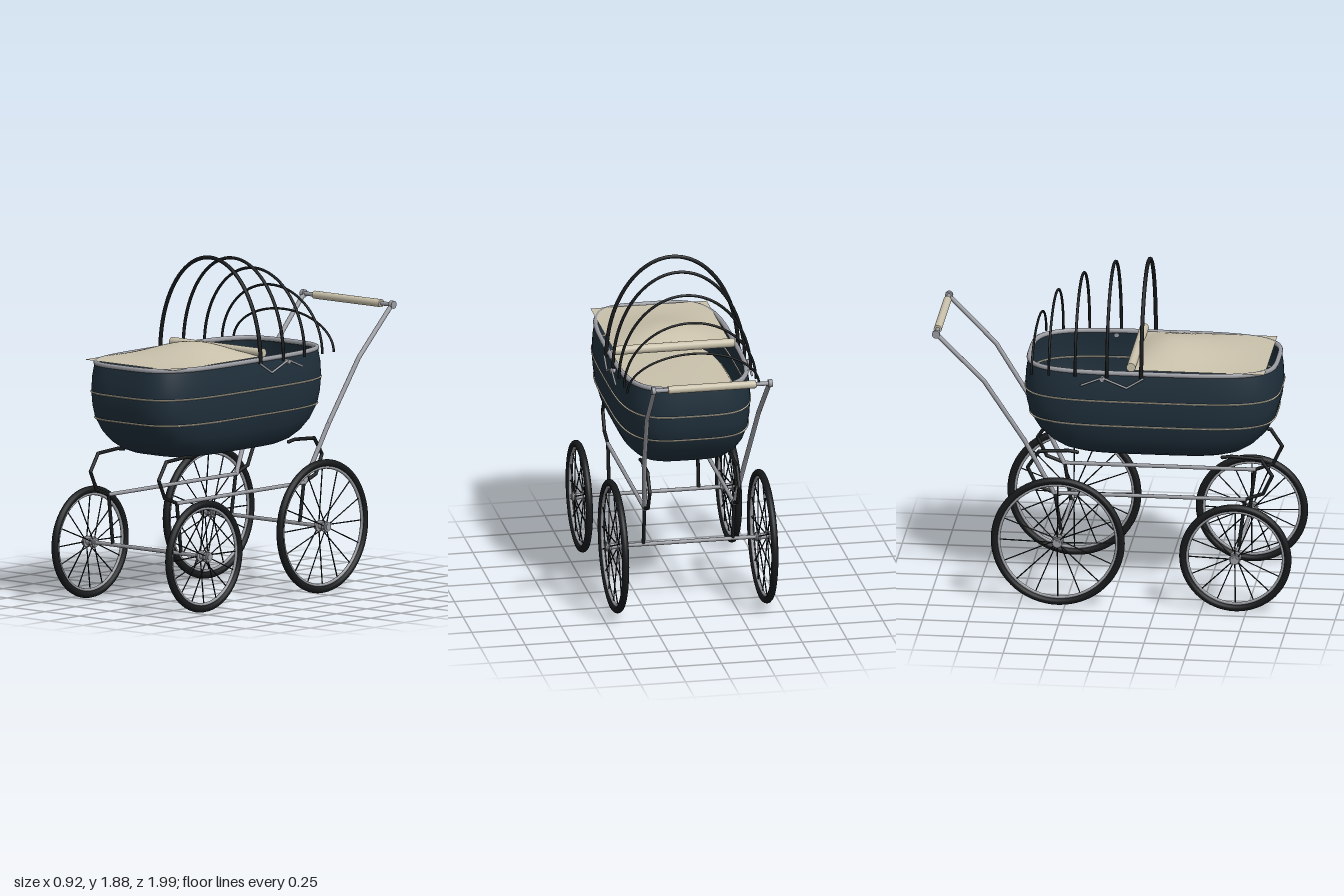
import * as THREE from 'three';

const mat = (name, color, side = THREE.FrontSide) => {
  const m = new THREE.MeshStandardMaterial({ color, side });
  m.name = name;
  return m;
};

export function createModel() {
  const navy = mat('navy body', 0x20303c, THREE.DoubleSide);
  const cream = mat('cream cloth', 0xc9c1ab, THREE.DoubleSide);
  const silver = mat('silver metal', 0x9a9ca2);
  const black = mat('black rubber and steel', 0x17191b);

  const root = new THREE.Group();
  root.name = 'babyCarriage';
  const V = (x, y, z) => new THREE.Vector3(x, y, z);
  const add = (name, geo, material, parent = root) => {
    const m = new THREE.Mesh(geo, material);
    m.name = name;
    parent.add(m);
    return m;
  };
  const group = name => {
    const g = new THREE.Group();
    g.name = name;
    root.add(g);
    return g;
  };
  // straight rod between two points
  const rod = (name, a, b, r, material, parent = root, sides = 12) => {
    const m = add(name, new THREE.CylinderGeometry(r, r, a.distanceTo(b), sides), material, parent);
    m.position.copy(a).lerp(b, 0.5);
    m.quaternion.setFromUnitVectors(V(0, 1, 0), b.clone().sub(a).normalize());
  };
  // bent rod: straight pieces with rounded joints
  const bentRod = (name, pts, r, material) => {
    const g = group(name);
    pts.forEach((p, i) => {
      add(name + 'Joint', new THREE.SphereGeometry(r, 12, 8), material, g).position.copy(p);
      if (i) rod(name + 'Piece', pts[i - 1], p, r, material, g);
    });
  };

  // rounded-rectangle outline of the body
  const CZ = 0.2, SEG = 96;
  const outline = (a, y, hx, hz) => {
    const f = v => Math.sign(v) * Math.abs(v) ** 0.52;
    return V(hx * f(Math.cos(a)), y, CZ + hz * f(Math.sin(a)));
  };
  const loft = rings => {
    const pos = [], index = [];
    rings.forEach(([y, hx, hz], i) => {
      for (let j = 0; j < SEG; j++) {
        pos.push(...outline(j / SEG * Math.PI * 2, y, hx, hz).toArray());
        if (!i) continue;
        const k = (j + 1) % SEG, lo = (i - 1) * SEG, up = i * SEG;
        index.push(lo + j, up + j, lo + k, lo + k, up + j, up + k);
      }
    });
    const g = new THREE.BufferGeometry();
    g.setAttribute('position', new THREE.Float32BufferAttribute(pos, 3));
    g.setIndex(index);
    g.computeVertexNormals();
    return g;
  };
  const ringTube = (y, hx, hz, r) => {
    const pts = [];
    for (let j = 0; j < SEG; j++) pts.push(outline(j / SEG * Math.PI * 2, y, hx, hz));
    return new THREE.TubeGeometry(new THREE.CatmullRomCurve3(pts, true), 128, r, 8, true);
  };

  // body, rim, trim lines and mattress
  add('body', loft([
    [0.825, 0.001, 0.001], [0.825, 0.15, 0.36], [0.828, 0.235, 0.45], [0.85, 0.275, 0.51],
    [0.89, 0.312, 0.57], [0.95, 0.342, 0.63], [1.03, 0.363, 0.678], [1.1, 0.371, 0.696],
    [1.18, 0.374, 0.704], [1.26, 0.37, 0.7], [1.335, 0.358, 0.688],
  ]), navy);
  add('rim', ringTube(1.335, 0.353, 0.683, 0.014), silver);
  add('upperTrim', ringTube(1.175, 0.374, 0.704, 0.005), cream);
  add('lowerTrim', ringTube(1.03, 0.364, 0.679, 0.005), cream);
  add('mattress', loft([[1.04, 0.34, 0.65], [1.08, 0.358, 0.675], [1.1, 0.34, 0.66], [1.1, 0.001, 0.001]]), cream);

  // domed cover over the front half, with a rolled edge
  const cover = new THREE.PlaneGeometry(0.65, 0.74, 28, 28).rotateX(-Math.PI / 2);
  const cp = cover.attributes.position;
  for (let i = 0; i < cp.count; i++) {
    const t = THREE.MathUtils.clamp(0.5 - cp.getZ(i) / 0.74, 0, 1), u = cp.getX(i) / 0.325;
    const rise = 0.06 * Math.sin(Math.PI * t ** 2.1) + 0.015 * t;
    cp.setY(i, 1.346 + rise * Math.cos(u * Math.PI / 2));
  }
  cover.computeVertexNormals();
  add('cover', cover, cream).position.z = 0.47;
  rod('coverRoll', V(-0.335, 1.365, 0.105), V(0.335, 1.365, 0.105), 0.025, cream, root, 20);

  // hood hoops
  [[0.165, 1.88, 0.011], [-0.025, 1.855, 0.009], [-0.2, 1.78, 0.008], [-0.345, 1.67, 0.007], [-0.44, 1.525, 0.0065]]
    .forEach(([z, top, r]) => {
      const pts = [];
      for (let i = 0; i <= 32; i++) {
        const a = i / 32 * Math.PI;
        pts.push(V(0.368 * Math.cos(a), 1.315 + (top - r - 1.315) * Math.sin(a), z));
      }
      add('hoodHoop', new THREE.TubeGeometry(new THREE.CatmullRomCurve3(pts), 64, r, 8), black);
    });

  // wheel with tyre, rim, spokes and hub; axis along x
  const wheel = (name, x, y, z, R) => {
    const g = group(name);
    g.position.set(x, y, z);
    add('tyre', new THREE.TorusGeometry(R - 0.02, 0.02, 12, 64).rotateY(Math.PI / 2), black, g);
    add('wheelRim', new THREE.TorusGeometry(R - 0.044, 0.009, 8, 64).rotateY(Math.PI / 2), silver, g);
    for (let i = 0; i < 16; i++) {
      const a = i / 16 * Math.PI * 2, c = Math.cos(a), s = Math.sin(a), w = i % 2 ? 0.025 : -0.025;
      rod('spoke', V(w, 0.02 * s, 0.02 * c), V(0, (R - 0.045) * s, (R - 0.045) * c), 0.0035, black, g, 6);
    }
    rod('hub', V(-0.045, 0, 0), V(0.045, 0, 0), 0.017, silver, g, 20);
    for (const w of [-0.036, -0.022, 0.022, 0.036])
      rod('hubFlange', V(w - 0.004, 0, 0), V(w + 0.004, 0, 0), Math.abs(w) > 0.03 ? 0.026 : 0.032, silver, g, 20);
  };
  const axles = [['front', 0.69, 0.31, 0.31], ['rear', -0.29, 0.37, 0.37]];
  for (const [end, z, y] of axles)
    rod(end + 'Axle', V(-0.42, y, z), V(0.42, y, z), 0.011, silver);

  for (const s of [-1, 1]) {
    const side = s > 0 ? 'left' : 'right', x = 0.25 * s;
    for (const [end, z, y, R] of axles) {
      wheel(`${end}Wheel_${side}`, 0.417 * s, y, z, R);
      // C-shaped spring and the strut down to the axle
      const d = end === 'front' ? 1 : -1;
      const path = [[0.4, 0.832], [0.45, 0.84], [0.612, 0.83], [0.675, 0.735], [0.625, 0.63], [0.525, 0.592]]
        .map(([dz, py]) => V(x, py, CZ + d * dz));
      path.push(V(x, y, z));
      bentRod(`${end}Spring_${side}`, path, 0.01, black);
    }
    rod('sideRail_' + side, V(x, 0.592, 0.73), V(x, 0.592, -0.33), 0.011, silver);
    bentRod('handleArm_' + side, [V(x, 0.592, -0.33), V(0.285 * s, 0.905, -0.49),
      V(0.312 * s, 1.25, -0.71), V(0.322 * s, 1.515, -0.972)], 0.013, silver);
    rod('handleCap_' + side, V(0.315 * s, 1.515, -0.972), V(0.337 * s, 1.515, -0.972), 0.022, silver, root, 20);
    // folding hood bracket
    bentRod('hoodBracket_' + side, [V(0.378 * s, 1.315, 0.175), V(0.381 * s, 1.26, 0.085),
      V(0.381 * s, 1.315, -0.05), V(0.381 * s, 1.268, -0.165)], 0.006, silver);
    rod('hoodPivot_' + side, V(0.355 * s, 1.305, -0.05), V(0.39 * s, 1.305, -0.05), 0.013, silver);
  }

  // push bar with grip
  rod('handleBar', V(-0.33, 1.515, -0.972), V(0.33, 1.515, -0.972), 0.012, silver);
  rod('handleGrip', V(-0.245, 1.515, -0.972), V(0.245, 1.515, -0.972), 0.022, cream, root, 20);

  return root;
}
